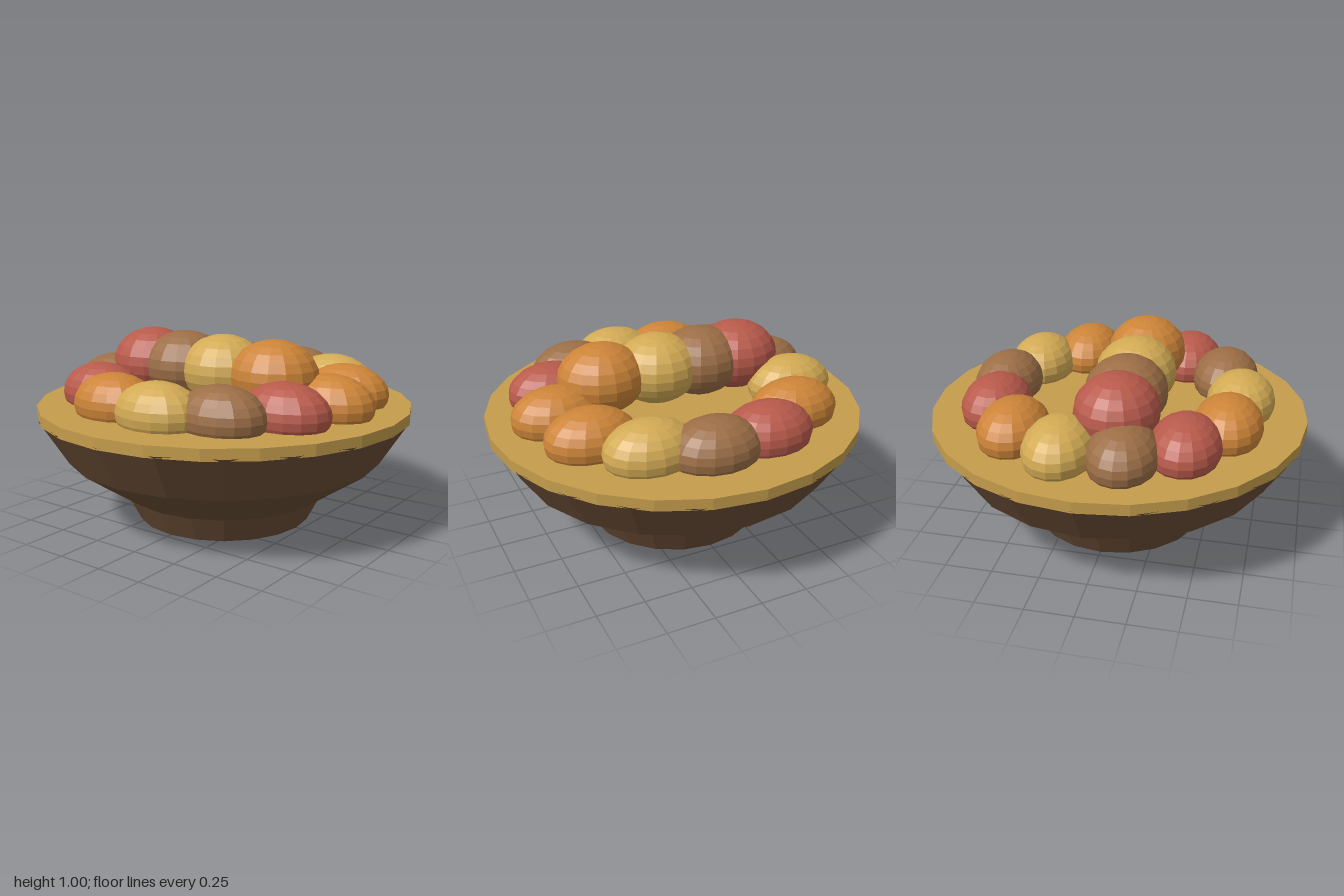
import * as THREE from 'three';

export function createModel() {
  const model = new THREE.Group();
  model.name = 'bowlOfEggs';

  const flat = (name, color) => {
    const m = new THREE.MeshStandardMaterial({ color, flatShading: true });
    m.name = name;
    return m;
  };
  const darkWood = flat('darkWood', 0x6a4d36);
  const straw = flat('straw', 0xc49c4c);
  const shells = [
    flat('orangeShell', 0xcc8438),
    flat('redShell', 0xb85a4b),
    flat('brownShell', 0x9c6e46),
    flat('yellowShell', 0xd2aa54),
  ];

  const add = (parent, name, geometry, material, x = 0, y = 0, z = 0) => {
    const mesh = new THREE.Mesh(geometry, material);
    mesh.name = name;
    mesh.position.set(x, y, z);
    parent.add(mesh);
    return mesh;
  };

  // Footed bowl with a closed base
  const profile = [[0, 0], [0.47, 0], [0.54, 0.137], [0.845, 0.345], [0.997, 0.587]]
    .map(([r, y]) => new THREE.Vector2(r, y));
  add(model, 'bowl', new THREE.LatheGeometry(profile, 20), darkWood);

  // Flat straw filling that also forms the rim
  add(model, 'filling', new THREE.CylinderGeometry(0.996, 0.996, 0.058, 24), straw, 0, 0.606, 0);

  // Ring of thirteen eggs, all lying along x
  const ring = new THREE.Group();
  ring.name = 'eggRing';
  model.add(ring);
  const ringEgg = new THREE.SphereGeometry(1, 16, 12).scale(0.236, 0.155, 0.18);
  for (let i = 0; i < 13; i++) {
    const a = (i / 13) * Math.PI * 2;
    add(ring, 'ringEgg', ringEgg, shells[i % 4], 0.65 * Math.cos(a), 0.69, 0.645 * Math.sin(a));
  }

  // Row of four larger eggs piled across the middle
  const row = new THREE.Group();
  row.name = 'eggRow';
  model.add(row);
  const rowEgg = new THREE.SphereGeometry(1, 16, 12).scale(0.235, 0.185, 0.215);
  [-0.42, -0.2, 0.055, 0.37].forEach((x, i) => {
    add(row, 'rowEgg', rowEgg, shells[(i + 1) % 4], x, 0.815, 0.08);
  });

  return model;
}
